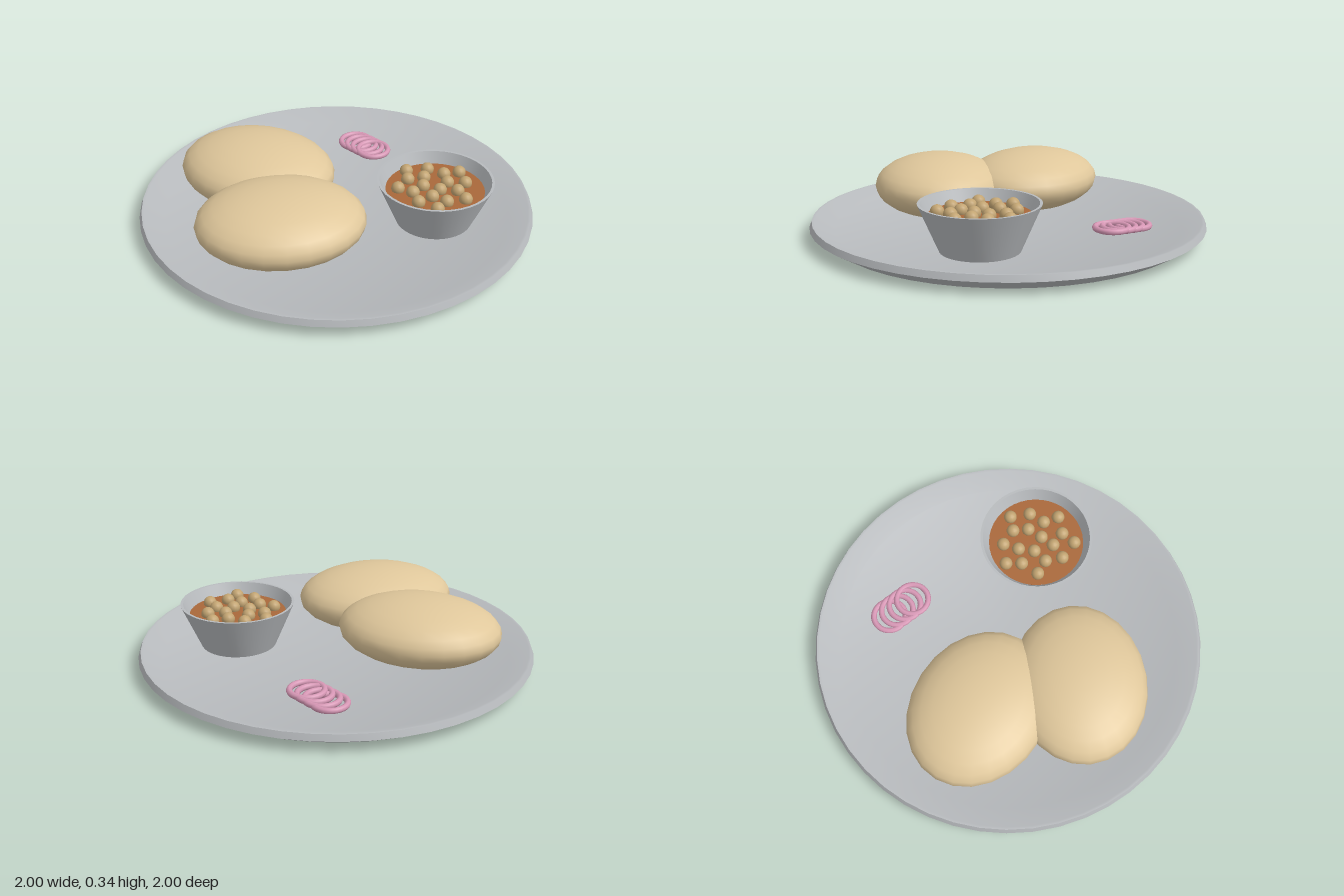
import * as THREE from 'three';
import { toCreasedNormals } from 'three/addons/utils/BufferGeometryUtils.js';

const material = (name, color) => {
  const m = new THREE.MeshStandardMaterial({ color });
  m.name = name;
  return m;
};

function add(parent, name, geometry, mat, x = 0, y = 0, z = 0) {
  const mesh = new THREE.Mesh(geometry, mat);
  mesh.name = name;
  mesh.position.set(x, y, z);
  parent.add(mesh);
  return mesh;
}

// Turned part from [radius, height] pairs, listed from the bottom centre outward and up
function turned(profile, segments, crease) {
  const points = profile.map(([r, y]) => new THREE.Vector2(r, y));
  return toCreasedNormals(new THREE.LatheGeometry(points, segments), crease);
}

export function createModel() {
  const model = new THREE.Group();
  model.name = 'mealPlate';

  const steel = material('steel', 0xb8bbbe);
  const bread = material('bread', 0xdfc79b);
  const curry = material('curry', 0xa9683a);
  const chickpea = material('chickpea', 0xc2a472);
  const onion = material('onion', 0xd898b6);

  // Shallow round plate with a raised rim
  add(model, 'plate', turned([
    [0, 0], [0.9, 0], [1, 0.06], [0.988, 0.09], [0.975, 0.09], [0.88, 0.045], [0, 0.045],
  ], 48, 0.5), steel);

  // Two puffed breads, leaning into each other
  for (const [name, x, z, turn] of [
    ['rightBread', -0.355, 0.235, 0.4],
    ['leftBread', 0.118, 0.435, 1.03],
  ]) {
    const puff = add(model, name, new THREE.SphereGeometry(1, 24, 14), bread, x, 0.182, z);
    puff.scale.set(0.414, 0.158, 0.34);
    puff.rotation.y = turn;
  }

  // Tapered bowl filled with curry
  const bowl = new THREE.Group();
  bowl.name = 'curryBowl';
  bowl.position.set(0.41, 0, -0.3);
  model.add(bowl);
  add(bowl, 'bowl', turned([
    [0, 0.04], [0.19, 0.04], [0.29, 0.272], [0.277, 0.272], [0.178, 0.05], [0, 0.05],
  ], 40, 0.6), steel);
  add(bowl, 'curry', new THREE.CylinderGeometry(0.246, 0.178, 0.163, 40), curry, 0, 0.1335, 0);

  // Chickpeas spread over the curry in a sunflower spiral
  const pea = new THREE.SphereGeometry(0.034, 14, 10);
  for (let i = 0; i < 18; i++) {
    const r = 0.0487 * Math.sqrt(i + 0.5);
    const a = i * 2.39996;
    add(bowl, 'chickpea', pea, chickpea, r * Math.cos(a), 0.228, r * Math.sin(a));
  }

  // Overlapping onion rings
  const ring = new THREE.TorusGeometry(0.083, 0.015, 8, 28).rotateX(Math.PI / 2);
  for (let i = 0; i < 4; i++) {
    add(model, 'onionRing', ring, onion, -0.416 + i * 0.049, 0.057 + i * 0.004, -0.48);
  }

  return model;
}
